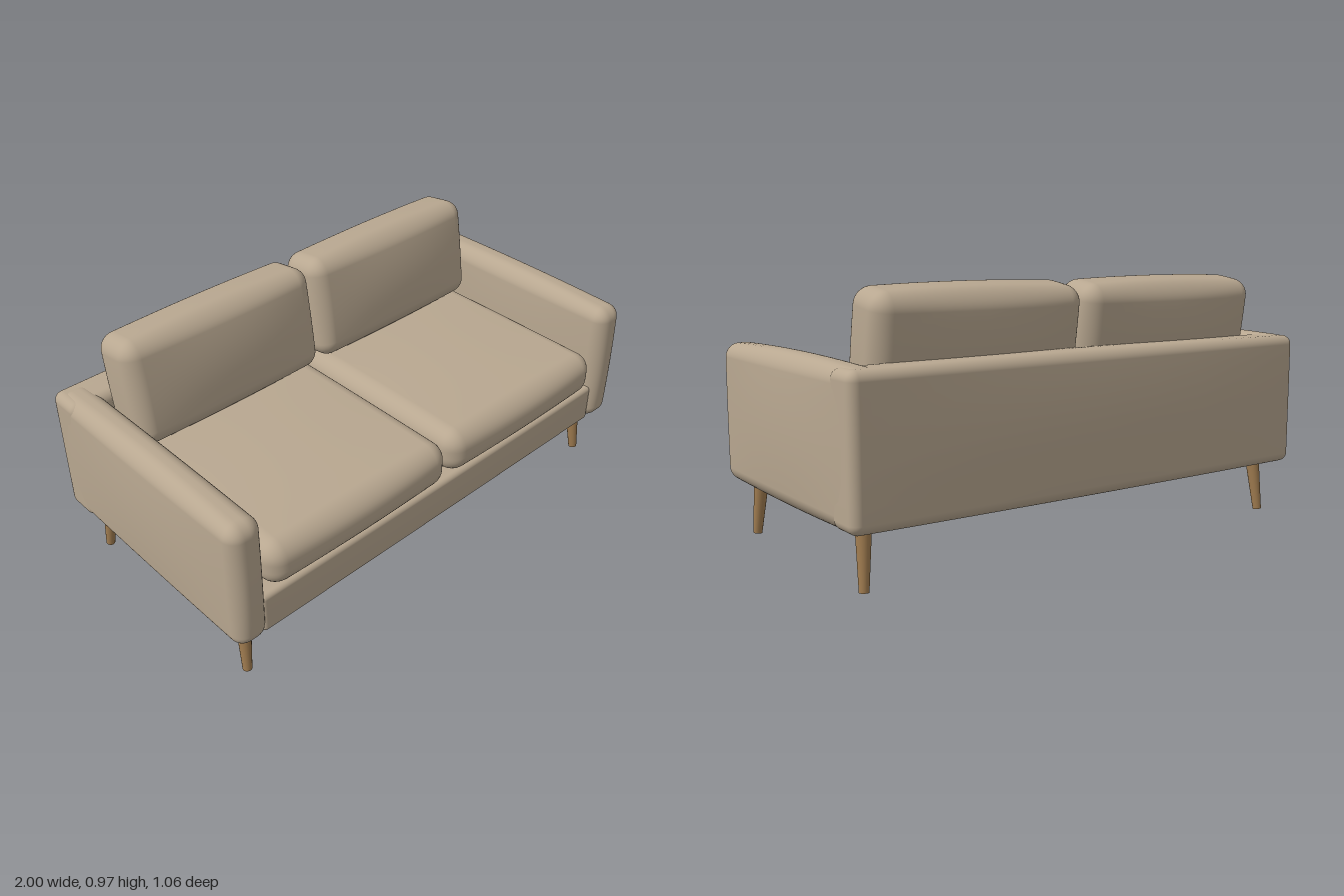
import * as THREE from 'three';
import { mergeVertices } from 'three/addons/utils/BufferGeometryUtils.js';

// Padded box from min to max corner: rounded edges of radius r, faces swelling by bulge [x, y, z]
function paddedBox(min, max, r, bulge) {
  const corner = 5, flat = 8, n = corner * 2 + flat;
  const half = max.map((v, i) => (v - min[i]) / 2);
  let geo = new THREE.BoxGeometry(2, 2, 2, n, n, n);
  geo.deleteAttribute('normal');
  geo.deleteAttribute('uv');
  geo = mergeVertices(geo, 1e-4);
  const pos = geo.attributes.position;

  // Gather the subdivisions into the rounded edges
  const spread = (t, h) => {
    const i = Math.round((t + 1) / 2 * n);
    const core = h - r;
    if (i < corner) return -core - r * Math.tan((1 - i / corner) * Math.PI / 4);
    if (i > n - corner) return core + r * Math.tan((1 - (n - i) / corner) * Math.PI / 4);
    return -core + 2 * core * (i - corner) / flat;
  };

  const p = new THREE.Vector3(), inner = new THREE.Vector3();
  const limit = new THREE.Vector3(...half).subScalar(r);
  for (let v = 0; v < pos.count; v++) {
    p.set(spread(pos.getX(v), half[0]), spread(pos.getY(v), half[1]), spread(pos.getZ(v), half[2]));
    inner.copy(p).clamp(limit.clone().negate(), limit);
    p.sub(inner).setLength(r).add(inner);
    const u = [p.x / half[0], p.y / half[1], p.z / half[2]];
    const dome = u.map(c => Math.max(0, 1 - c * c));
    p.x += bulge[0] * u[0] * dome[1] * dome[2];
    p.y += bulge[1] * u[1] * dome[0] * dome[2];
    p.z += bulge[2] * u[2] * dome[0] * dome[1];
    pos.setXYZ(v, p.x, p.y, p.z);
  }
  geo.computeVertexNormals();
  return geo;
}

export function createModel() {
  const sofa = new THREE.Group();
  sofa.name = 'sofa';
  const fabric = new THREE.MeshStandardMaterial({ color: 0xb8a790 });
  fabric.name = 'beige upholstery';
  const wood = new THREE.MeshStandardMaterial({ color: 0xa07c50 });
  wood.name = 'oak';

  const pad = (name, min, max, r, bulge) => {
    const mesh = new THREE.Mesh(paddedBox(min, max, r, bulge), fabric);
    mesh.name = name;
    mesh.position.set(...min.map((v, i) => (v + max[i]) / 2));
    sofa.add(mesh);
    return mesh;
  };

  // Frame
  pad('seatBase', [-0.875, 0.208, -0.45], [0.875, 0.37, 0.5], 0.018, [0, 0, 0.004]);
  pad('backrest', [-0.99, 0.21, -0.522], [0.99, 0.722, -0.37], 0.035, [0, 0.006, 0.01]);

  for (const side of [1, -1]) {
    const label = side > 0 ? 'left' : 'right';
    const span = (a, b) => (side > 0 ? [a, b] : [-b, -a]);

    // Armrest
    const [a0, a1] = span(0.858, 0.988);
    pad(label + 'Armrest', [a0, 0.208, -0.505], [a1, 0.724, 0.515], 0.05, [0.012, 0.012, 0.008]);

    // Seat cushion
    const [s0, s1] = span(0.008, 0.842);
    pad(label + 'SeatCushion', [s0, 0.372, -0.39], [s1, 0.55, 0.515], 0.068, [0.004, 0.012, 0.015]);

    // Back cushion, leaning backwards
    const [c0, c1] = span(0.01, 0.84);
    const cushion = pad(label + 'BackCushion', [c0, 0.545, -0.405], [c1, 0.955, -0.2], 0.06, [0.006, 0.012, 0.025]);
    cushion.rotation.x = -0.15;

    // Tapered legs, splayed towards the corners
    for (const end of [1, -1]) {
      const top = new THREE.Vector3(side * 0.892, 0.24, end * 0.404);
      const foot = new THREE.Vector3(side * 0.908, 0.003, end * 0.43);
      const axis = top.clone().sub(foot);
      const leg = new THREE.Mesh(new THREE.CylinderGeometry(0.029, 0.017, axis.length(), 20), wood);
      leg.name = label + (end > 0 ? 'FrontLeg' : 'BackLeg');
      leg.position.copy(top).add(foot).multiplyScalar(0.5);
      leg.quaternion.setFromUnitVectors(new THREE.Vector3(0, 1, 0), axis.normalize());
      sofa.add(leg);
    }
  }
  return sofa;
}
